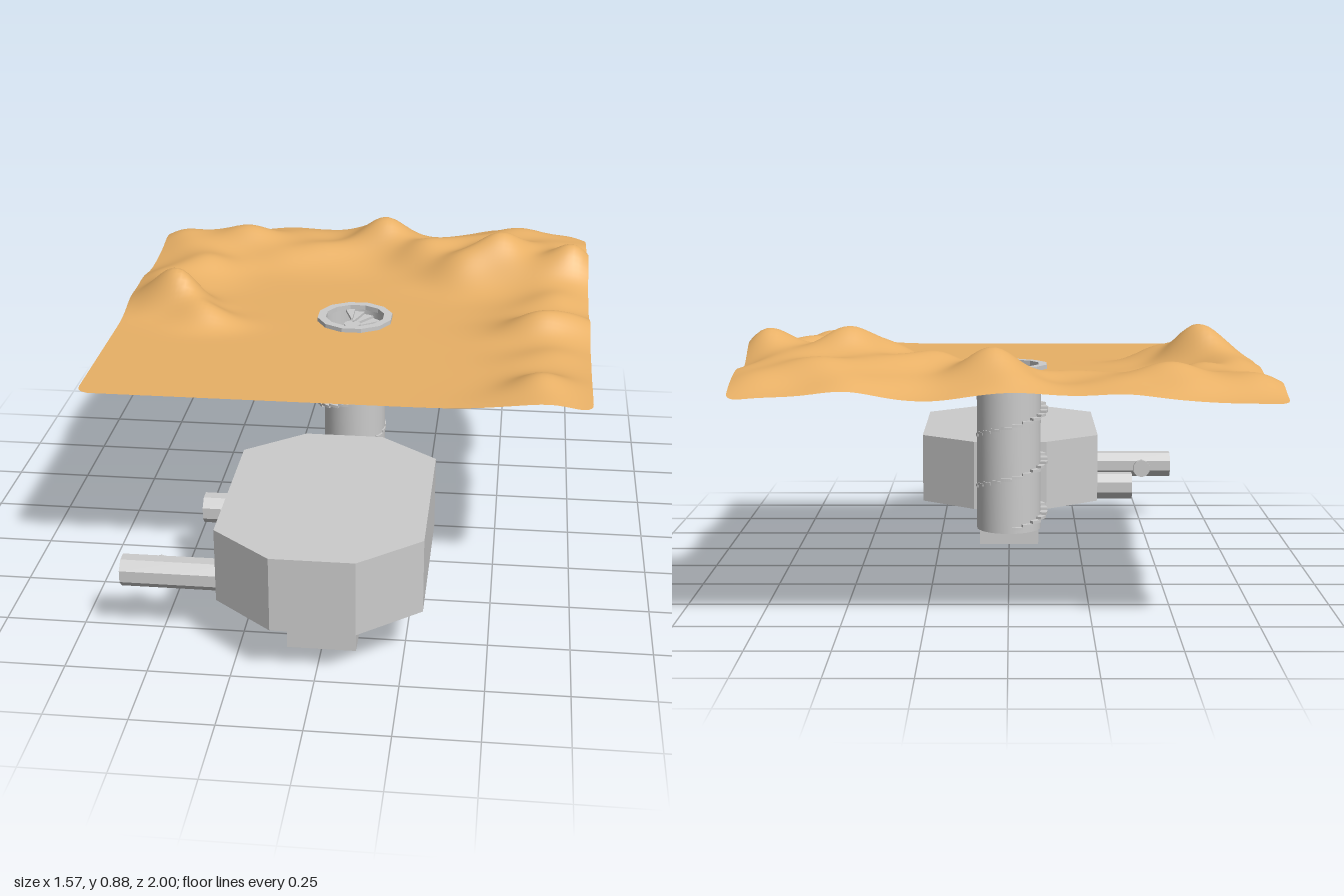
import * as THREE from 'three';
import { toCreasedNormals } from 'three/addons/utils/BufferGeometryUtils.js';

const GREY = new THREE.MeshStandardMaterial({ color: 0xcccccc, flatShading: true, side: THREE.DoubleSide });
const SMOOTH = new THREE.MeshStandardMaterial({ color: 0xcccccc, side: THREE.DoubleSide });
const SAND = new THREE.MeshStandardMaterial({ color: 0xe8b066, side: THREE.DoubleSide });
const SHAFT = { x: 0, z: -0.14, r: 0.115 };

// Hills: x, z, spread in x, spread in z, height
const HILLS = [
  // left side
  [-0.62, -0.17, 0.08, 0.06, 0.14], [-0.5, -0.05, 0.08, 0.05, 0.06], [-0.7, -0.33, 0.08, 0.1, 0.06],
  [-0.6, -0.56, 0.1, 0.1, 0.06], [-0.5, -0.82, 0.12, 0.08, 0.08], [-0.72, -0.8, 0.08, 0.1, 0.05],
  // back
  [-0.25, -0.72, 0.14, 0.09, 0.06], [0.04, -0.83, 0.1, 0.1, 0.12], [-0.25, -0.95, 0.16, 0.08, 0.04],
  [0.24, -0.66, 0.1, 0.1, 0.1],
  // right side
  [0.36, -0.5, 0.08, 0.07, 0.07], [0.5, -0.58, 0.1, 0.11, 0.14], [0.72, -0.5, 0.09, 0.09, 0.14],
  [0.46, -0.85, 0.14, 0.11, 0.09], [0.72, -0.78, 0.11, 0.12, 0.08], [0.66, -0.27, 0.12, 0.09, 0.05],
  [0.66, -0.04, 0.12, 0.07, 0.09], [0.65, 0.18, 0.1, 0.08, 0.03], [0.64, 0.42, 0.08, 0.07, 0.055],
  [0.62, 0.56, 0.12, 0.08, 0.02],
];

function groundHeight(x, z) {
  let h = 0;
  for (const [cx, cz, sx, sz, top] of HILLS) {
    h += top * Math.exp(-0.5 * (((x - cx) / sx) ** 2 + ((z - cz) / sz) ** 2));
  }
  // ripples grow with the hills, so the plain stays flat
  const ripple = Math.sin(x * 19 + z * 7) * Math.cos(z * 23 - x * 5);
  return 0.7 + Math.min(h, 0.17) * (1 + 0.12 * ripple);
}

function add(parent, name, geometry, material = GREY, x = 0, y = 0, z = 0) {
  const mesh = new THREE.Mesh(geometry, material);
  mesh.name = name;
  mesh.position.set(x, y, z);
  parent.add(mesh);
  return mesh;
}

function lathe(points, sides, start = 0) {
  return new THREE.LatheGeometry(points.map(([r, y]) => new THREE.Vector2(r, y)), sides, start);
}

// Sand sheet with rounded corners and a round opening over the shaft
function terrainGeometry() {
  const w = 1.57, d = 1.565, zc = -0.2175, round = 0.045;
  const geo = new THREE.PlaneGeometry(w, d, 90, 90).rotateX(-Math.PI / 2).translate(0, 0, zc);
  const p = geo.attributes.position;
  const inHole = [];
  for (let i = 0; i < p.count; i++) {
    let x = p.getX(i), z = p.getZ(i);
    const ex = Math.abs(x) - (w / 2 - round), ez = Math.abs(z - zc) - (d / 2 - round);
    if (ex > 0 && ez > 0) {
      const k = Math.max(ex, ez) / Math.hypot(ex, ez);
      x -= Math.sign(x) * ex * (1 - k);
      z -= Math.sign(z - zc) * ez * (1 - k);
    }
    const dx = x - SHAFT.x, dz = z - SHAFT.z, r = Math.hypot(dx, dz);
    inHole[i] = r < SHAFT.r;
    if (inHole[i] && r > 1e-6) {
      x = SHAFT.x + dx / r * SHAFT.r;
      z = SHAFT.z + dz / r * SHAFT.r;
    }
    p.setXYZ(i, x, groundHeight(x, z), z);
  }
  const kept = [], idx = geo.index.array;
  for (let i = 0; i < idx.length; i += 3) {
    const tri = [idx[i], idx[i + 1], idx[i + 2]];
    if (!tri.every((v) => inHole[v])) kept.push(...tri);
  }
  geo.setIndex(kept);
  geo.computeVertexNormals();
  return geo;
}

// Hollow octagonal pipe along y, resting on a flat side once laid down
function pipeGeometry(length, halfWidth = 0.045) {
  const outer = halfWidth / Math.cos(Math.PI / 8), inner = outer - 0.007;
  return lathe([[inner, 0], [outer, 0], [outer, length], [inner, length], [inner, 0]], 8, Math.PI / 8);
}

// Wedge-shaped tread
function treadGeometry(angle) {
  const shape = new THREE.Shape();
  shape.moveTo(0.015, 0);
  shape.lineTo(0.118, 0);
  shape.absarc(0, 0, 0.118, 0, angle, false);
  shape.lineTo(0.015 * Math.cos(angle), 0.015 * Math.sin(angle));
  return new THREE.ExtrudeGeometry(shape, { depth: 0.009, bevelEnabled: false, curveSegments: 3 }).rotateX(-Math.PI / 2);
}

export function createModel() {
  const model = new THREE.Group();
  model.name = 'undergroundShelter';

  add(model, 'terrain', terrainGeometry(), SAND);

  // Entrance shaft with rim
  const shaft = lathe([[0, 0.167], [0.105, 0.167], [0.105, 0.705], [0.1, 0.705], [0.1, 0.172], [0, 0.172]], 32);
  add(model, 'shaft', toCreasedNormals(shaft, 0.6), SMOOTH, SHAFT.x, 0, SHAFT.z);
  add(model, 'shaftRim', lathe([[0.1, 0.698], [0.128, 0.698], [0.128, 0.714], [0.1, 0.714], [0.1, 0.698]], 12, Math.PI / 12),
    GREY, SHAFT.x, 0, SHAFT.z);

  // Spiral stair, slightly off the shaft's axis
  const stair = new THREE.Group();
  stair.name = 'spiralStair';
  stair.position.set(-0.01, 0, -0.136);
  model.add(stair);
  add(stair, 'stairColumn', new THREE.CylinderGeometry(0.028, 0.028, 0.51, 12), GREY, 0, 0.43, 0);
  const perTurn = 20, pitch = 0.17, steps = 61;
  const tread = treadGeometry(2 * Math.PI / perTurn);
  for (let i = 0; i < steps; i++) {
    add(stair, 'tread', tread, GREY, 0, 0.18 + i * pitch / perTurn, 0).rotation.y = Math.PI / 2 + i * 2 * Math.PI / perTurn;
  }

  // Main chamber with cut corners, and the lower room below it
  const plan = new THREE.Shape([
    [-0.315, 0.3], [-0.13, 0.155], [0.122, 0.155], [0.307, 0.3],
    [0.307, 0.847], [0.122, 1], [-0.13, 1], [-0.315, 0.847],
  ].map(([x, z]) => new THREE.Vector2(x, -z)));
  add(model, 'mainChamber', new THREE.ExtrudeGeometry(plan, { depth: 0.238, bevelEnabled: false }).rotateX(-Math.PI / 2),
    GREY, 0, 0.165, 0);
  add(model, 'lowerRoom', new THREE.BoxGeometry(0.21, 0.17, 0.505), GREY, 0, 0.085, 0.5725);

  // Tunnel from the shaft to the chamber
  add(model, 'entranceTunnel', pipeGeometry(0.21, 0.04), GREY, 0, 0.205, -0.05).rotation.x = Math.PI / 2;

  // Side tunnels; the front one has a second section and a hatch
  for (const [name, x, z, length] of [
    ['rearSideTunnel', -0.3, 0.348, 0.14],
    ['frontSideTunnel', -0.3, 0.777, 0.14],
    ['frontTunnelExtension', -0.44, 0.777, 0.175],
  ]) {
    add(model, name, pipeGeometry(length), GREY, x, 0.212, z).rotation.z = Math.PI / 2;
  }
  add(model, 'tunnelHatch', new THREE.CylinderGeometry(0.033, 0.033, 0.022, 10), GREY, -0.505, 0.203, 0.727).rotation.x = Math.PI / 2;

  return model;
}
